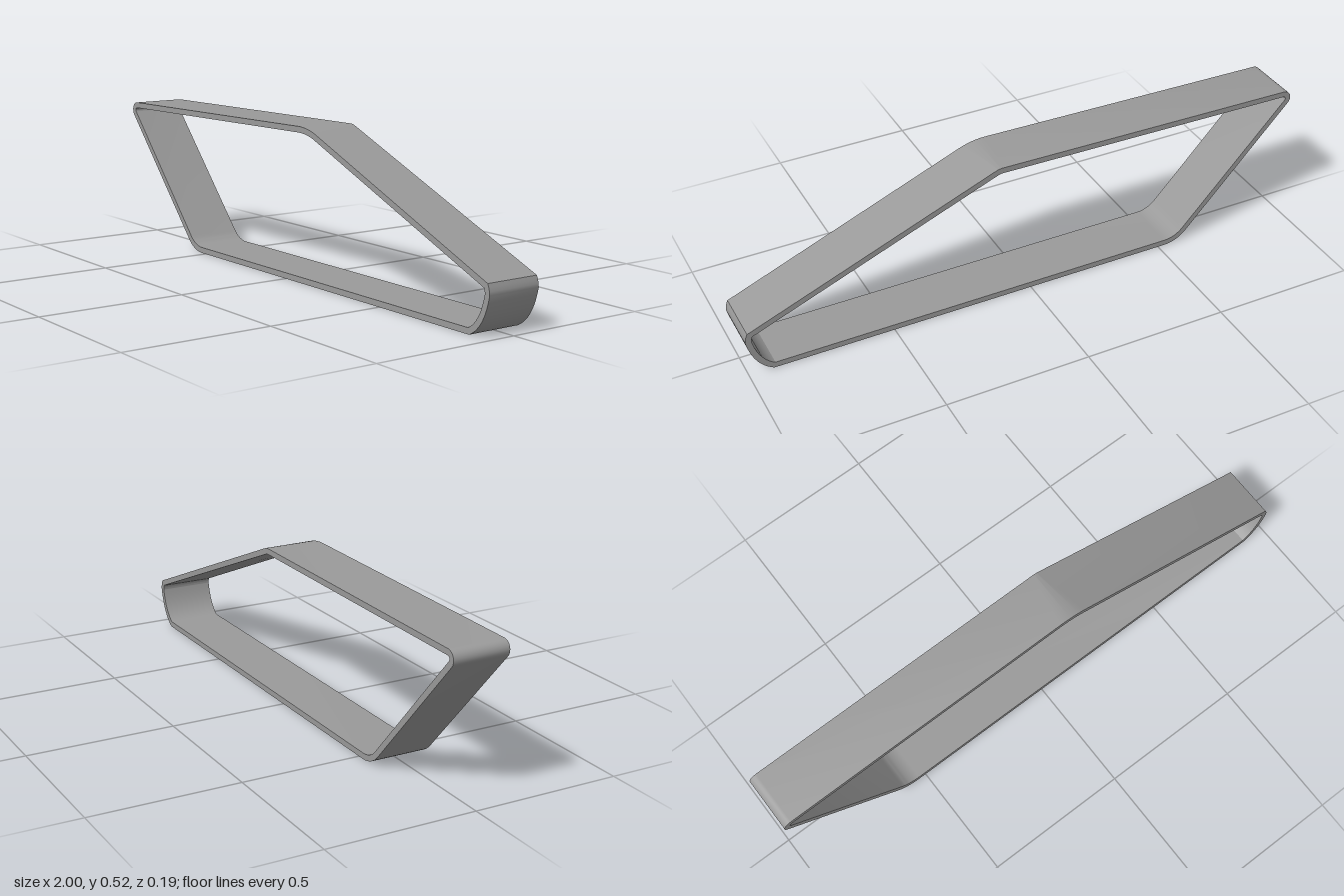
import * as THREE from 'three';
import { toCreasedNormals } from 'three/addons/utils/BufferGeometryUtils.js';

const WALL = 0.02, DEPTH = 0.19;

// Points of a circular fillet of tangent length t at corner b, between a and c
function fillet(a, b, c, t, n = 8) {
  const u = a.clone().sub(b).normalize(), v = c.clone().sub(b).normalize();
  const half = u.angleTo(v) / 2, r = t * Math.tan(half);
  const centre = b.clone().add(u.clone().add(v).normalize().multiplyScalar(r / Math.sin(half)));
  const p = b.clone().addScaledVector(u, t).sub(centre);
  const sweep = Math.PI - 2 * half; // outline runs counter-clockwise
  return Array.from({ length: n + 1 }, (_, i) =>
    p.clone().rotateAround(new THREE.Vector2(), sweep * i / n).add(centre));
}

// Mitred inward offset of a closed counter-clockwise outline
function inset(pts, d) {
  return pts.map((p, i) => {
    const a = pts[(i + pts.length - 1) % pts.length], c = pts[(i + 1) % pts.length];
    const e1 = p.clone().sub(a).normalize(), e2 = c.clone().sub(p).normalize();
    const n1 = new THREE.Vector2(-e1.y, e1.x), n2 = new THREE.Vector2(-e2.y, e2.x);
    const m = n1.clone().add(n2).normalize();
    return p.clone().addScaledVector(m, d / m.dot(n1));
  });
}

export function createModel() {
  const V = (x, y) => new THREE.Vector2(x, y);
  const bottomRight = V(0.915, 0), noseTop = V(0.99, 0.164);
  const bend = V(0.122, 0.518), tip = V(-1.037, 0.502), heel = V(-0.575, 0);

  // Rounded nose with a crease on top, then the three filleted corners
  const outline = [
    ...new THREE.QuadraticBezierCurve(bottomRight, V(0.978, 0.03), V(0.998, 0.125)).getPoints(10),
    ...new THREE.QuadraticBezierCurve(V(0.999, 0.13), V(0.999, 0.145), noseTop).getPoints(3),
    ...fillet(noseTop, bend, tip, 0.05),
    ...fillet(bend, tip, heel, 0.064),
    ...fillet(tip, heel, bottomRight, 0.05),
  ];

  const shape = new THREE.Shape(outline);
  shape.holes.push(new THREE.Path(inset(outline, WALL)));
  const geometry = new THREE.ExtrudeGeometry(shape, { depth: DEPTH, bevelEnabled: false });
  geometry.translate(0, 0, -DEPTH / 2);

  // The upper bend tightens towards the back and sits slightly further right
  const pos = geometry.attributes.position;
  const outerBend = V(0.112, 0.516), innerBend = V(0.108, 0.496);
  for (let i = 0; i < pos.count; i++) {
    const p = V(pos.getX(i), pos.getY(i));
    if (pos.getZ(i) > 0 || p.x < 0 || p.x > 0.3 || p.y < 0.4) continue;
    const isOuter = p.y + 0.41 * Math.max(0, p.x - bend.x) > 0.503;
    p.lerp(isOuter ? outerBend : innerBend, 0.75);
    pos.setXY(i, p.x, p.y);
  }

  const band = new THREE.Mesh(
    toCreasedNormals(geometry, Math.PI / 7),
    new THREE.MeshStandardMaterial({ color: 0x9a9a9a }));
  band.name = 'frameBand';
  const group = new THREE.Group();
  group.name = 'windowFrame';
  group.add(band);
  return group;
}
